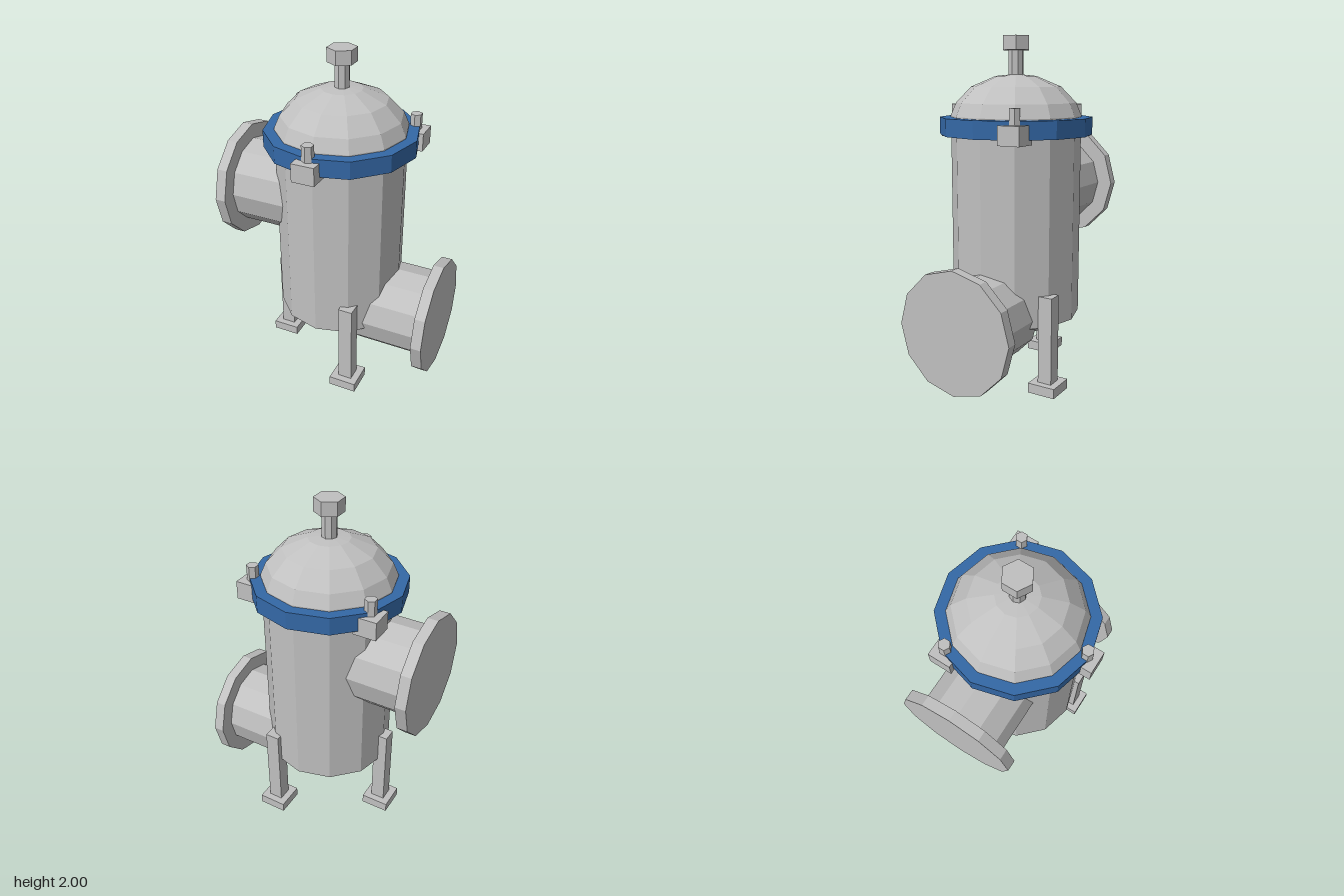
import * as THREE from 'three';

const AXIS_Z = -0.024; // the vessel sits slightly behind the centre

export function createModel() {
  const steel = new THREE.MeshStandardMaterial({ color: 0xc0c0c0, flatShading: true });
  steel.name = 'steel';
  const blue = new THREE.MeshStandardMaterial({ color: 0x3468a6, flatShading: true });
  blue.name = 'blue';

  const model = new THREE.Group();
  model.name = 'filterVessel';
  const vessel = new THREE.Group();
  vessel.name = 'vessel';
  vessel.position.z = AXIS_Z;
  model.add(vessel);

  const add = (name, geometry, material, x, y, z, parent = vessel) => {
    const mesh = new THREE.Mesh(geometry, material);
    mesh.name = name;
    mesh.position.set(x, y, z);
    parent.add(mesh);
    return mesh;
  };
  // Upright prism between two heights
  const prism = (name, r, y0, y1, sides, material = steel, x = 0, z = 0, parent = vessel) =>
    add(name, new THREE.CylinderGeometry(r, r, y1 - y0, sides), material, x, (y0 + y1) / 2, z, parent);
  // Square block between two heights
  const block = (name, w, y0, y1, x, z, parent) =>
    add(name, new THREE.BoxGeometry(w, y1 - y0, w), steel, x, (y0 + y1) / 2, z, parent);
  const lathe = (name, points) =>
    add(name, new THREE.LatheGeometry(points.map(([r, y]) => new THREE.Vector2(r, y)), 12), steel, 0, 0, 0);

  // Tank with a tapered bottom, and the domed lid
  lathe('tank', [[0, 0.294], [0.2, 0.294], [0.378, 0.378], [0.378, 1.5]]);
  lathe('domedLid', [[0.38, 1.5], [0.38, 1.55], [0.347, 1.625], [0.26, 1.715], [0.118, 1.775], [0, 1.787]]);
  prism('clampRing', 0.443, 1.442, 1.543, 12, blue);

  // Vent on top of the lid
  prism('ventStem', 0.044, 1.75, 1.93, 8);
  prism('ventCap', 0.084, 1.92, 2.0, 6);

  // Inlet and outlet pipes with blind flanges
  const nozzle = (name, side, y) => {
    const group = new THREE.Group();
    group.name = name;
    group.position.y = y;
    vessel.add(group);
    const section = (part, r, x0, x1) => {
      const mesh = add(part, new THREE.CylinderGeometry(r, r, x1 - x0, 12), steel, side * (x0 + x1) / 2, 0, 0, group);
      mesh.rotation.z = Math.PI / 2;
    };
    section('pipe', 0.262, 0.19, 0.6);
    section('flange', 0.352, 0.59, 0.653);
  };
  nozzle('inlet', -1, 1.103);
  nozzle('outlet', 1, 0.422);

  // Three legs with foot plates
  for (let i = 0; i < 3; i++) {
    const a = Math.PI / 3 + (i * Math.PI * 2) / 3;
    const x = 0.378 * Math.cos(a), z = 0.378 * Math.sin(a);
    const leg = new THREE.Group();
    leg.name = 'leg';
    vessel.add(leg);
    block('legPost', 0.084, 0.03, 0.565, x, z, leg);
    block('footPlate', 0.166, 0, 0.057, x, z, leg);
  }

  // Three lid clamps with hexagonal bolts
  for (let i = 0; i < 3; i++) {
    const a = (i * Math.PI * 2) / 3;
    const x = 0.42 * Math.sin(a), z = 0.42 * Math.cos(a);
    const clamp = new THREE.Group();
    clamp.name = 'lidClamp';
    vessel.add(clamp);
    block('clampBlock', 0.134, 1.415, 1.521, x, z, clamp);
    prism('clampBolt', 0.034, 1.48, 1.61, 6, steel, x, z, clamp);
  }

  return model;
}
